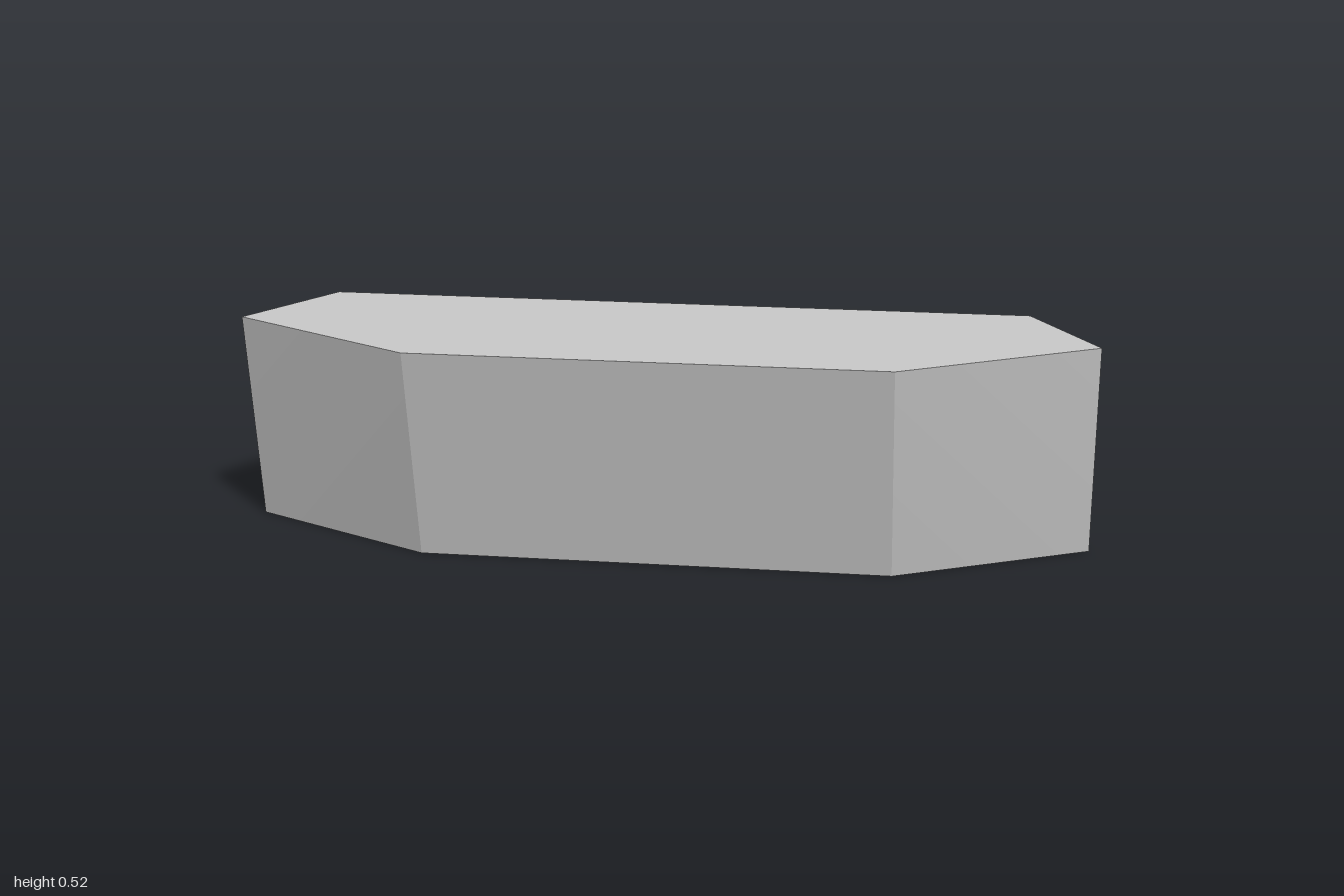
import * as THREE from 'three';

const H = 0.522;      // height
const BACK = -0.27;   // back wall z
const STEPS = 16;

const v = (x, y, z) => new THREE.Vector3(x, y, z);
const mirror = (row) => row.map((p) => v(-p.x, p.y, p.z));

// Panel between two upward rows of points: a on the left, b on the right, seen from outside
function panel(a, b, flip = false) {
  const n = a.length;
  const index = [];
  const tri = (i, j, k) => index.push(...(flip ? [i, k, j] : [i, j, k]));
  for (let i = 0; i < n - 1; i++) {
    tri(i, n + i, i + 1);
    tri(n + i, n + i + 1, i + 1);
  }
  const g = new THREE.BufferGeometry().setFromPoints([...a, ...b]);
  g.setIndex(index);
  g.computeVertexNormals();
  return g;
}

export function createModel() {
  const group = new THREE.Group();
  const grey = new THREE.MeshStandardMaterial({ color: 0xc8c8c8 });
  grey.name = 'lightGrey';

  const add = (name, geometry) => {
    const mesh = new THREE.Mesh(geometry, grey);
    mesh.name = name;
    group.add(mesh);
  };

  // Edges on the +x half, each running from bottom to top
  const rise = (fn) => Array.from({ length: STEPS + 1 }, (_, i) => fn(i / STEPS));
  const frontEdge = [v(0.55, 0, 0.135), v(0.55, H, 0.27)];
  const sideEdge = rise((t) => v(1, t * H, -0.1 + 0.105 * t));
  const sideArc = rise((t) => v(1, t * H, -0.1 + 0.105 * t * t));
  const backArc = rise((t) => v(0.865 - 0.025 * t * t, t * H, BACK));

  // Leaning front and upright back
  add('frontPanel', panel(mirror(frontEdge), frontEdge));
  add('backPanel', panel(backArc, mirror(backArc)));

  // Top and bottom
  const topRow = [frontEdge[1], sideArc[STEPS], backArc[STEPS]];
  const bottomRow = [backArc[0], sideArc[0], frontEdge[0]];
  add('topPanel', panel(mirror(topRow), topRow));
  add('bottomPanel', panel(mirror(bottomRow), bottomRow));

  // Slanted front corners, flat side slivers and curved back corners
  for (const [side, flip] of [['left', false], ['right', true]]) {
    const put = (name, a, b) =>
      add(side + name, flip ? panel(mirror(a), mirror(b), true) : panel(a, b));
    put('FrontCorner', frontEdge, [sideEdge[0], sideEdge[STEPS]]);
    put('SideSliver', sideEdge, sideArc);
    put('BackCorner', sideArc, backArc);
  }
  return group;
}
